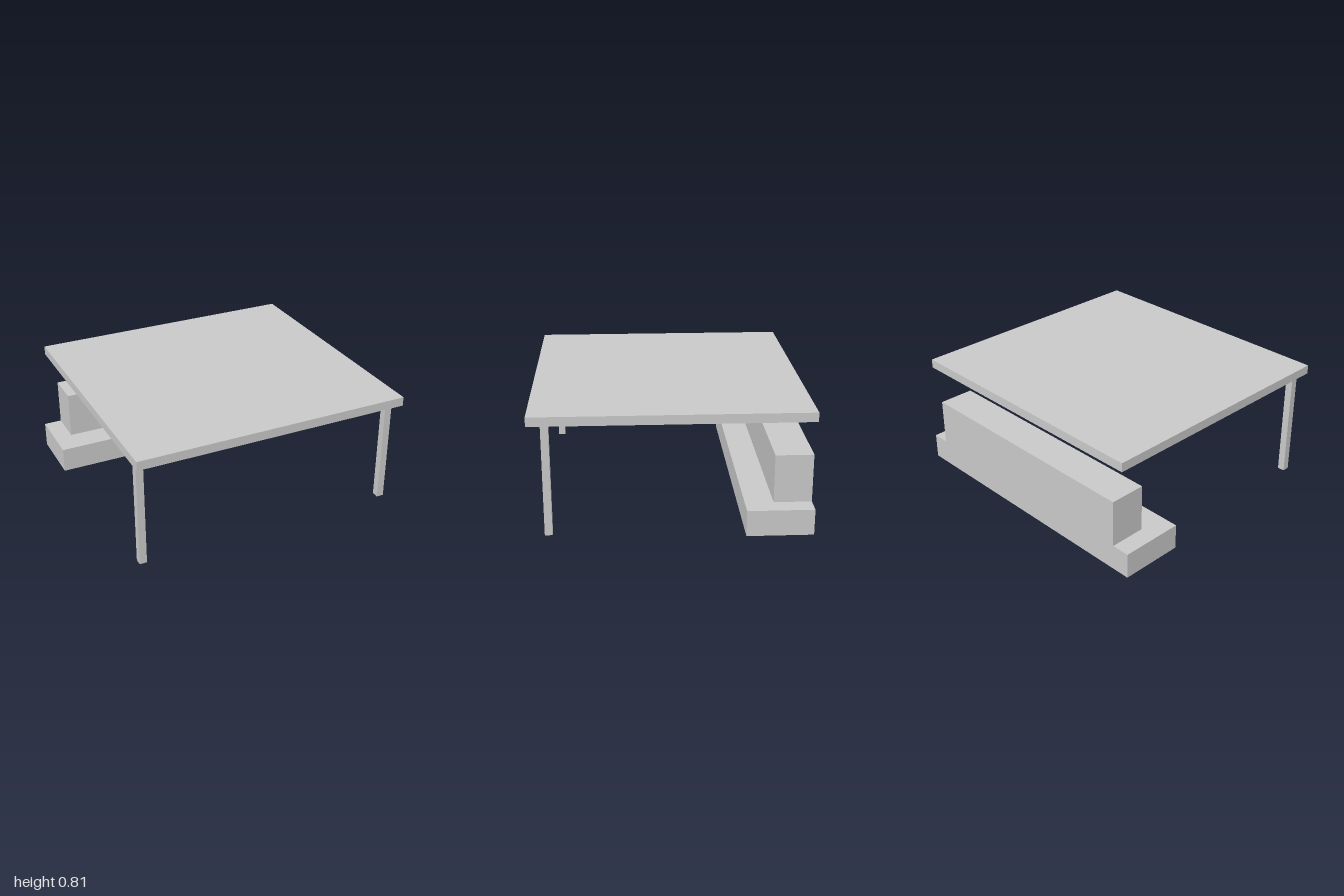
import * as THREE from 'three';

export function createModel() {
  const model = new THREE.Group();
  const lightGrey = new THREE.MeshStandardMaterial({ color: 0xc8c9c8 });
  lightGrey.name = 'lightGrey';

  // Box given by its lower and upper limits on each axis
  function block(name, [x0, x1], [y0, y1], [z0, z1]) {
    const mesh = new THREE.Mesh(new THREE.BoxGeometry(x1 - x0, y1 - y0, z1 - z0), lightGrey);
    mesh.position.set((x0 + x1) / 2, (y0 + y1) / 2, (z0 + z1) / 2);
    mesh.name = name;
    model.add(mesh);
  }

  // Flat roof slab
  block('roof', [-0.95, 0.95], [0.751, 0.813], [-0.905, 0.905]);

  // Two front posts
  for (const side of [-1, 1]) {
    const x = side * 0.9;
    block(side > 0 ? 'leftPost' : 'rightPost', [x - 0.025, x + 0.025], [0, 0.751], [0.768, 0.818]);
  }

  // Stepped block at the back
  block('lowerStep', [-1, 1], [0, 0.176], [-0.905, -0.469]);
  block('upperStep', [-0.875, 0.875], [0.176, 0.502], [-0.905, -0.656]);

  return model;
}
